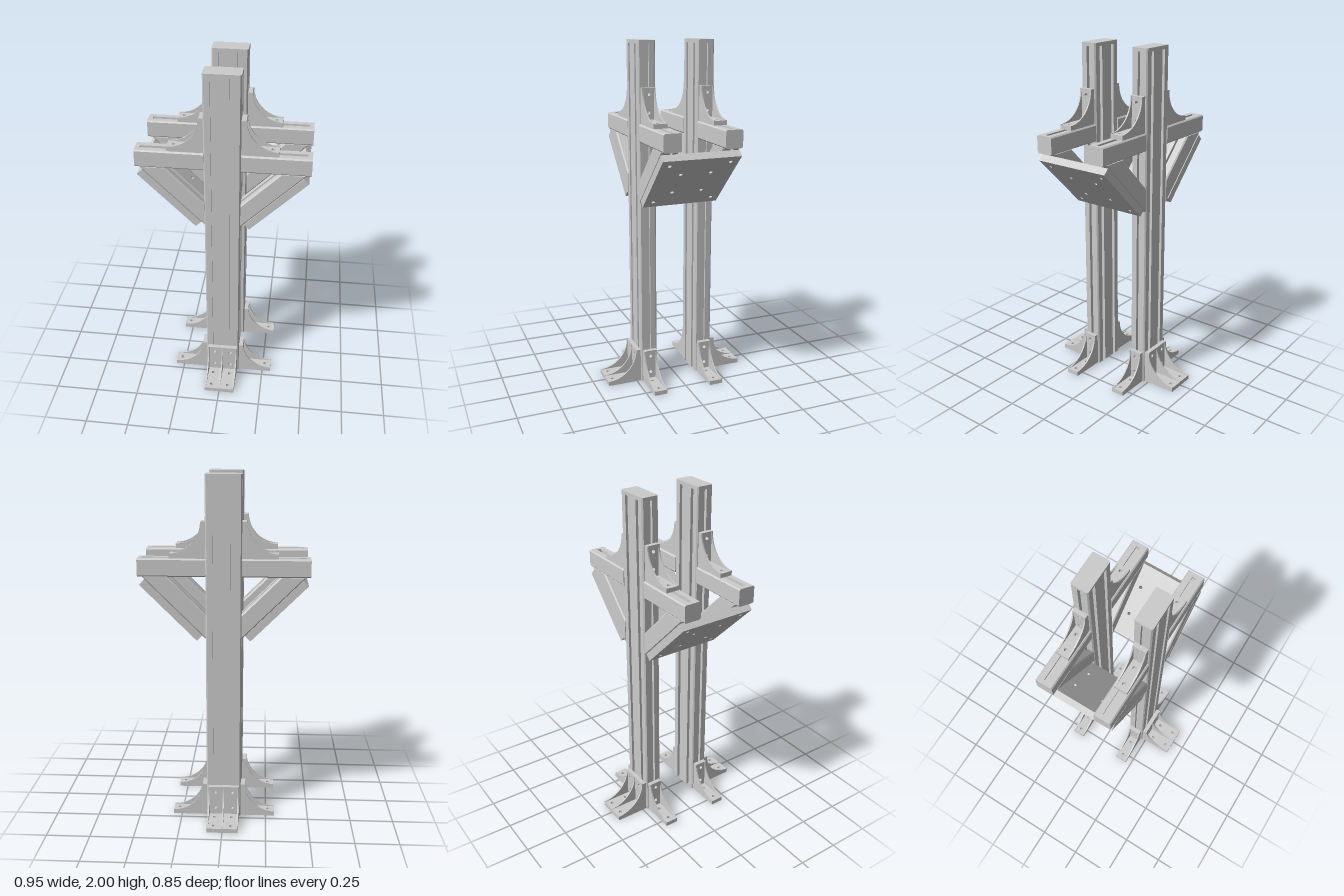
import * as THREE from 'three';
import { toCreasedNormals } from 'three/addons/utils/BufferGeometryUtils.js';

const material = new THREE.MeshStandardMaterial({ color: 0xcccccc });
const HALF = 0.05; // half of one profile unit

function part(name, geometry) {
  const mesh = new THREE.Mesh(geometry, material);
  mesh.name = name;
  return mesh;
}

function extrude(shape, depth) {
  const g = new THREE.ExtrudeGeometry(shape, { depth, bevelEnabled: false, curveSegments: 16 });
  return toCreasedNormals(g, 0.5);
}

// Chamfered rectangle with T-slots: sides run bottom, right, top, left,
// each given as a list of slot positions along that side
function profile(w, d, sides = [[], [], [], []]) {
  const c = 0.007, pts = [];
  const slot = [[-0.011, 0], [-0.011, 0.012], [-0.018, 0.012], [-0.018, 0.028],
    [0.018, 0.028], [0.018, 0.012], [0.011, 0.012], [0.011, 0]];
  sides.forEach((slots, i) => {
    const [along, out] = i % 2 ? [d / 2, w / 2] : [w / 2, d / 2];
    const edge = [[-along + c, 0]];
    slots.forEach((s) => slot.forEach(([a, b]) => edge.push([s + a, b])));
    edge.push([along - c, 0]);
    const a = i * Math.PI / 2;
    edge.forEach(([u, v]) => pts.push(new THREE.Vector2(u, v - out).rotateAround(new THREE.Vector2(), a)));
  });
  return new THREE.Shape(pts);
}

function holedPlate(w, h, depth, holes, r = 0.01) {
  const shape = new THREE.Shape([[-1, -1], [1, -1], [1, 1], [-1, 1]]
    .map(([x, y]) => new THREE.Vector2(x * w / 2, y * h / 2)));
  holes.forEach(([x, y]) => shape.holes.push(new THREE.Path().absarc(x, y, r, 0, Math.PI * 2, true)));
  return extrude(shape, depth);
}

// Corner bracket: wall on x = 0, base on y = 0, curved ribs between them
function bracket(name, width, columns, ribs) {
  const group = new THREE.Group();
  group.name = name;
  const t = 0.025, size = 0.2, ribT = 0.008;
  const holes = (f) => columns.flatMap((z) => [0.065, 0.165].map((p) => f(p, z)));

  const wall = part('bracketWall', holedPlate(width, size, t, holes((p, z) => [z, p - size / 2])));
  wall.rotation.y = Math.PI / 2;
  wall.position.y = size / 2;
  const mid = (size + t) / 2;
  const base = part('bracketBase', holedPlate(size - t, width, t, holes((p, z) => [p - mid, z])));
  base.rotation.x = -Math.PI / 2;
  base.position.x = mid;
  group.add(wall, base);

  const shape = new THREE.Shape();
  shape.moveTo(t, t);
  shape.lineTo(size, t);
  shape.absarc(size, size, size - t - 0.002, -Math.PI / 2, -Math.PI, true);
  shape.lineTo(t, size);
  ribs.forEach((z) => {
    const rib = part('bracketRib', extrude(shape, ribT));
    rib.position.z = z * (width - ribT) / 2 - ribT / 2;
    group.add(rib);
  });
  return group;
}

// Diagonal strut, mitred at 45 degrees against post and beam
function strut() {
  const start = new THREE.Vector3(0.1, 1.1707, 0), length = 0.395;
  const g = extrude(profile(0.1, 0.1, [[0], [], [0], []]), length);
  const p = g.attributes.position;
  for (let i = 0; i < p.count; i++) {
    const z = p.getZ(i), s = p.getY(i);
    p.setZ(i, z < length / 2 ? z + s : z - s);
  }
  const flat = toCreasedNormals(g, 0.1);
  const q = Math.SQRT1_2;
  flat.applyMatrix4(new THREE.Matrix4().makeBasis(new THREE.Vector3(0, 0, -1),
    new THREE.Vector3(-q, q, 0), new THREE.Vector3(q, q, 0)).setPosition(start));
  return part('diagonalStrut', flat);
}

// Beam arm with its cap, bracket, strut and foot on the +x side of a post
function sideArm() {
  const group = new THREE.Group();
  group.name = 'sideArm';
  const beam = part('crossBeam', extrude(profile(0.1, 0.1, [[0], [], [0], []]), 0.35));
  const cap = part('beamEndCap', extrude(profile(0.1, 0.1), 0.025));
  [[beam, 0.1], [cap, 0.45]].forEach(([m, x]) => {
    m.rotation.y = Math.PI / 2;
    m.position.set(x, 1.5, 0);
  });
  const upper = bracket('beamBracket', 0.078, [0], [-1, 1]);
  upper.position.set(0.1, 1.55, 0);
  const foot = bracket('sideFoot', 0.078, [0], [-1, 1]);
  foot.position.x = 0.1;
  group.add(beam, cap, upper, foot, strut());
  return group;
}

function postAssembly() {
  const group = new THREE.Group();
  group.name = 'postAssembly';
  const pair = [-HALF, HALF];
  const post = part('post', extrude(profile(0.2, 0.1, [pair, [0], pair, [0]]), 1.98));
  const cap = part('postCap', extrude(profile(0.2, 0.1), 0.02));
  post.rotation.x = cap.rotation.x = -Math.PI / 2;
  cap.position.y = 1.98;
  const foot = bracket('frontFoot', 0.18, pair, [-1, 0, 1]);
  foot.rotation.y = -Math.PI / 2;
  foot.position.z = HALF;
  group.add(post, cap, foot);
  [0, Math.PI].forEach((a) => {
    const arm = sideArm();
    arm.rotation.y = a;
    group.add(arm);
  });
  group.children.forEach((c) => { c.position.z += 0.175; });
  return group;
}

// Square sloping plate joining the struts of both posts
function slopingPlate() {
  const holes = [0.175, 0.0875].flatMap((d) => [[d, d], [-d, d], [d, -d], [-d, -d]]);
  const g = holedPlate(0.45, 0.446, 0.0424, holes);
  const q = Math.SQRT1_2;
  g.applyMatrix4(new THREE.Matrix4().makeBasis(new THREE.Vector3(0, 0, 1),
    new THREE.Vector3(q, q, 0), new THREE.Vector3(-q, q, 0)).setPosition(0.3075, 1.2475, 0));
  return part('slopingPlate', g);
}

export function createModel() {
  const model = new THREE.Group();
  model.name = 'frameStand';
  [0, Math.PI].forEach((a) => {
    const half = new THREE.Group();
    half.name = a ? 'backHalf' : 'frontHalf';
    half.add(postAssembly(), slopingPlate());
    half.rotation.y = a;
    model.add(half);
  });
  return model;
}
